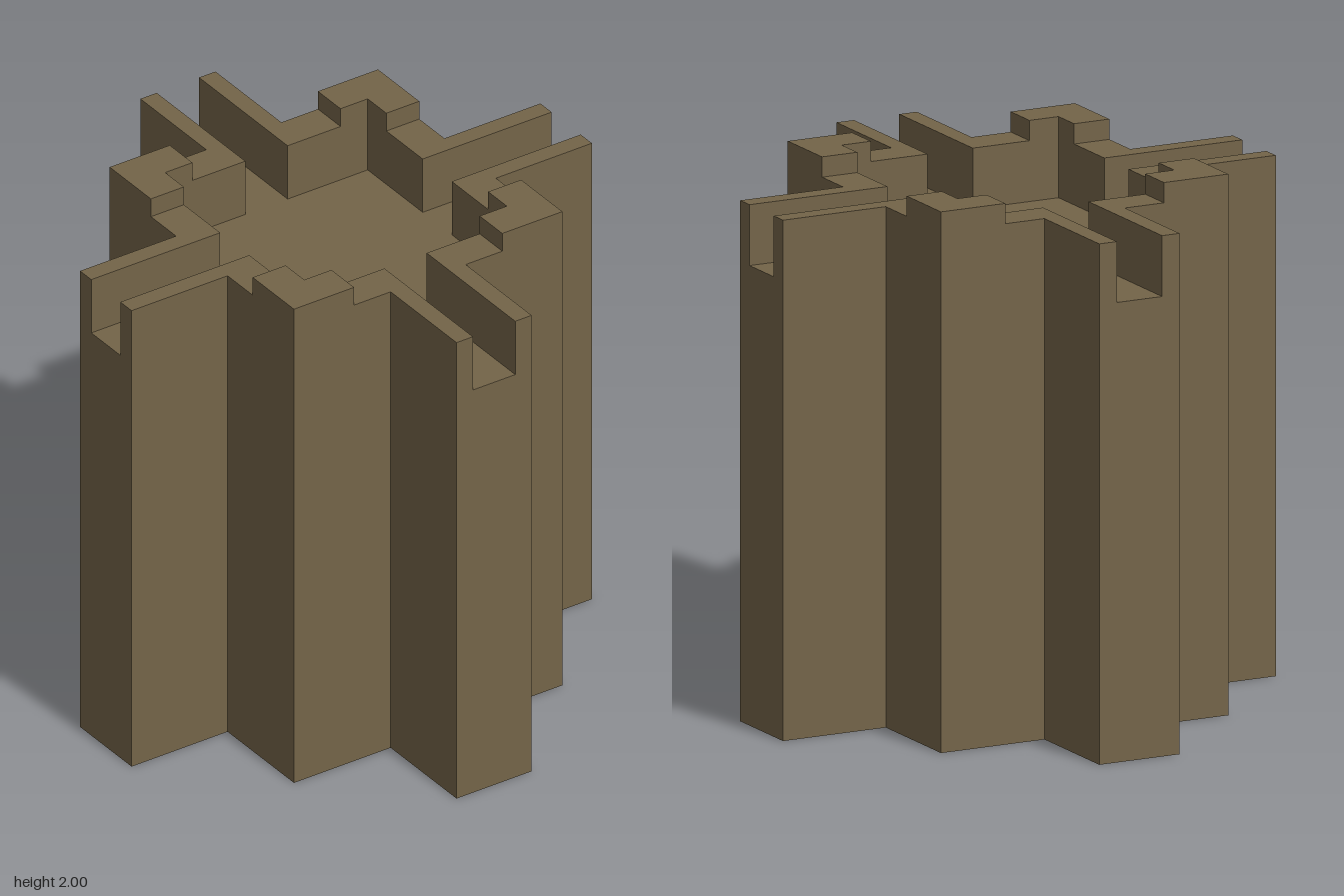
import * as THREE from 'three';

const CORE = 0.583, INNER = 0.44, ARM = 0.163, SLOT = 0.092, MERLON = 0.322;
const FLOOR = 1.7, WALL = 1.925, TOP = 2;

// Box standing on y = 0 with some of its faces left out (0..5: +x -x +y -y +z -z)
function openBox(w, h, d, omit) {
  const g = new THREE.BoxGeometry(w, h, d).translate(0, h / 2, 0);
  const index = Array.from(g.index.array).filter((_, i) => !omit.includes(Math.floor(i / 6)));
  g.setIndex(index);
  g.clearGroups();
  return g;
}

// Upright prism from a floor-plan outline
function prism(points, y0, y1) {
  const shape = new THREE.Shape(points.map(([x, z]) => new THREE.Vector2(x, z)));
  return new THREE.ExtrudeGeometry(shape, { depth: y1 - y0, bevelEnabled: false })
    .rotateX(-Math.PI / 2).translate(0, y0, 0);
}

export function createModel() {
  const model = new THREE.Group();
  model.name = 'tower';
  const stone = new THREE.MeshStandardMaterial({ color: 0x736448, side: THREE.DoubleSide });
  stone.name = 'brownStone';

  const add = (name, geometry, turn = 0) => {
    const mesh = new THREE.Mesh(geometry, stone);
    mesh.name = name;
    mesh.rotation.y = turn * Math.PI / 2;
    model.add(mesh);
  };

  // Hollow square core, open underneath, its top forming the floor
  add('core', openBox(2 * CORE, FLOOR, 2 * CORE, [3]));

  // Hollow arm, open underneath and closed off by the core wall
  const arm = openBox(2 * ARM, FLOOR, 1 - CORE, [3, 5]).translate(0, 0, (1 + CORE) / 2);

  // Parapet of one corner, running out along both neighbouring arms
  const parapet = prism([
    [SLOT, 1], [ARM, 1], [ARM, CORE], [CORE, CORE], [CORE, ARM], [1, ARM],
    [1, SLOT], [INNER, SLOT], [INNER, INNER], [SLOT, INNER],
  ], FLOOR, WALL);

  // Raised L-shaped corner block
  const merlon = prism([
    [MERLON, CORE], [CORE, CORE], [CORE, MERLON],
    [INNER, MERLON], [INNER, INNER], [MERLON, INNER],
  ], WALL, TOP);

  for (let i = 0; i < 4; i++) {
    add('arm', arm, i);
    add('parapet', parapet, i);
    add('cornerMerlon', merlon, i);
  }
  return model;
}
